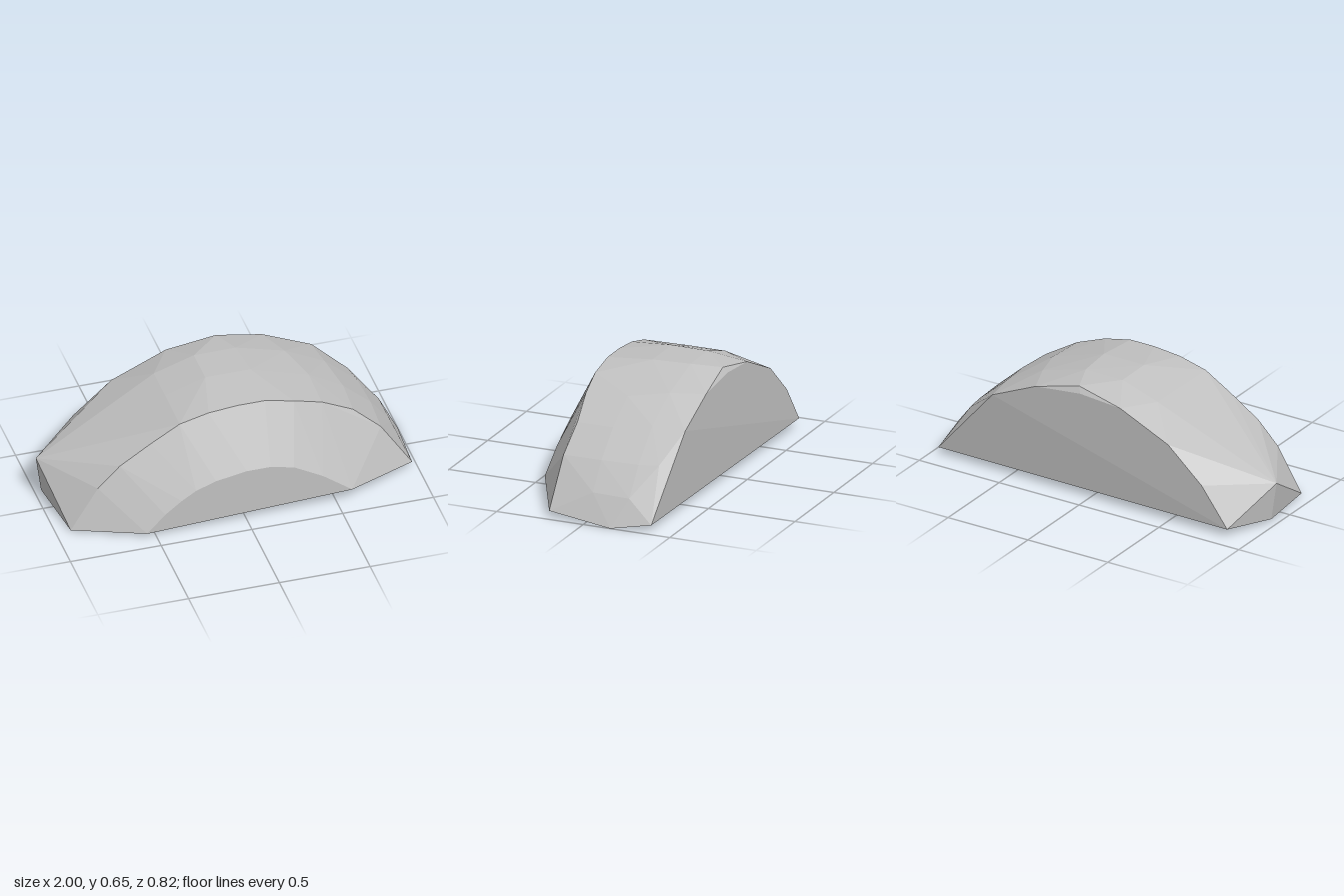
import * as THREE from 'three';
import { ConvexGeometry } from 'three/addons/geometries/ConvexGeometry.js';

// Half-round faceted stone: arched cross-sections wrapped in a convex skin
export function createModel() {
  const group = new THREE.Group();
  group.name = 'facetedStone';
  const stoneGrey = new THREE.MeshStandardMaterial({ color: 0xc0c0c0, flatShading: true });
  stoneGrey.name = 'stoneGrey';

  const sections = [
    // small front face
    { z: 0.41, arc: [[-0.55, 0.027], [-0.45, 0.13], [-0.36, 0.2], [-0.28, 0.25], [-0.17, 0.29], [0, 0.32],
      [0.13, 0.32], [0.26, 0.29], [0.42, 0.2], [0.58, 0.08]] },
    // front rim
    { z: 0.24, arc: [[-0.92, 0.01], [-0.77, 0.25], [-0.65, 0.37], [-0.48, 0.48], [-0.32, 0.575],
      [-0.16, 0.615], [0, 0.63], [0.15, 0.63], [0.31, 0.595]] },
    // crown, front and back
    { z: -0.02, arc: [[-0.32, 0.58], [-0.1, 0.654], [0.15, 0.654], [0.47, 0.553], [0.66, 0.44], [0.81, 0.305], [0.92, 0.16]] },
    { z: -0.23, arc: [[-0.32, 0.58], [-0.1, 0.652], [0.13, 0.654], [0.4, 0.578], [0.62, 0.465], [0.8, 0.305], [0.92, 0.155]] },
    // flat back face
    { z: -0.41, arc: [[-0.87, 0.05], [-0.71, 0.265], [-0.5, 0.45], [-0.2, 0.585], [0.05, 0.605], [0.33, 0.575], [0.6, 0.455]] },
  ];
  const points = sections.flatMap(({ z, arc }) => arc.map(([x, y]) => new THREE.Vector3(x, y, z)));

  // corners lying between the sections
  const corners = [
    [-1, 0.24, -0.13], [-0.97, 0.025, -0.135], [1, 0.003, -0.155],
    [0.97, 0.04, 0.21], [0.8, 0.3, 0.203], [0.65, 0.435, 0.19], [0.47, 0.54, 0.22],
    [0.96, 0.04, -0.375], [0.78, 0.31, -0.34], [0.07, 0.638, -0.39],
  ];
  points.push(...corners.map((c) => new THREE.Vector3(...c)));

  const stone = new THREE.Mesh(new ConvexGeometry(points), stoneGrey);
  stone.name = 'stoneBody';
  group.add(stone);
  return group;
}
